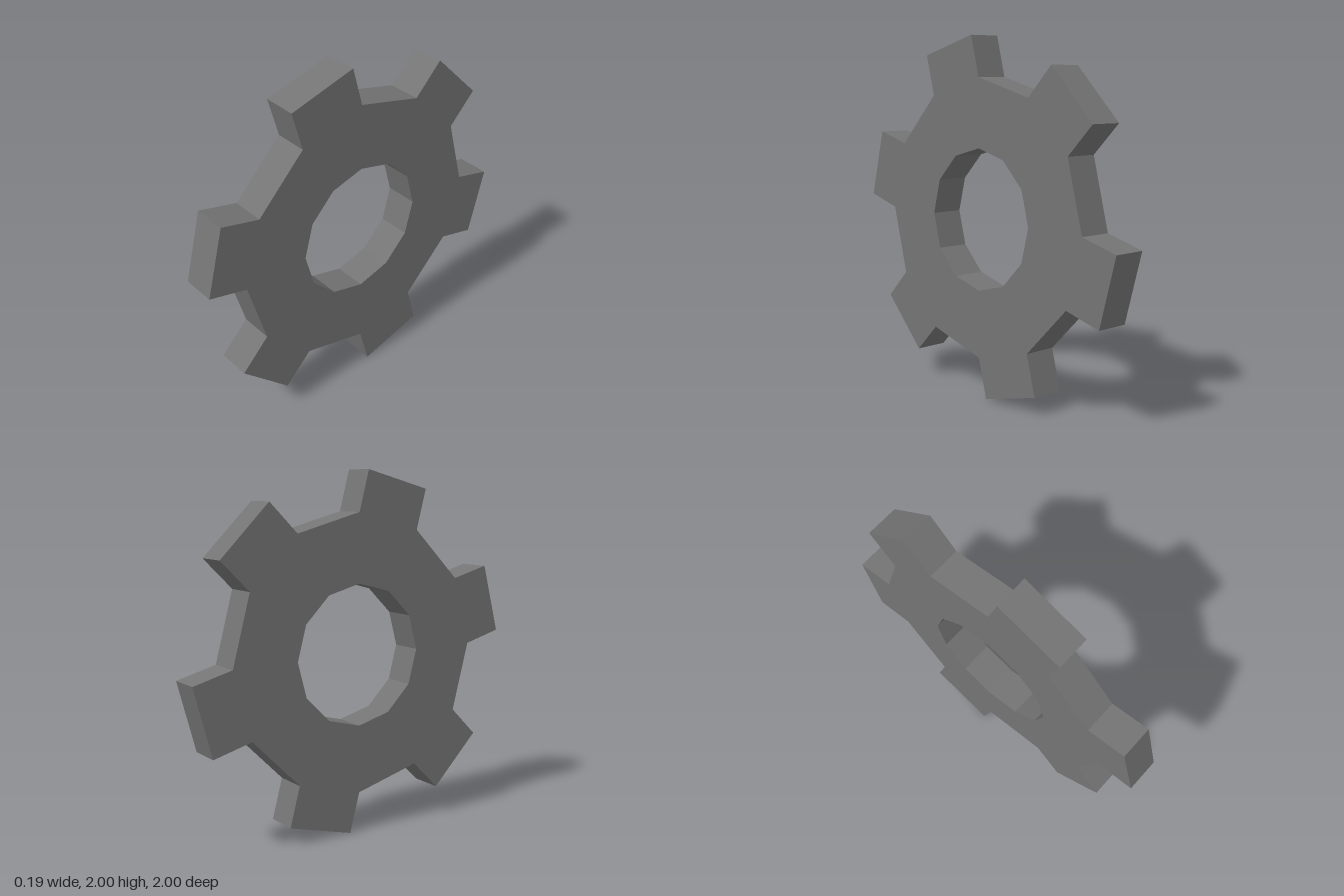
import * as THREE from 'three';

const RIM = 0.775, HOLE = 0.393, TOOTH = 0.233, THICK = 0.188;

export function createModel() {
  const group = new THREE.Group();
  group.name = 'gear';

  // Angles run from +z towards +y; the shape's x axis becomes -z
  const polar = (r, deg) => {
    const a = THREE.MathUtils.degToRad(deg);
    return new THREE.Vector2(-r * Math.cos(a), r * Math.sin(a));
  };

  // Twelve-sided rim with a square tooth on every other side
  const outline = [];
  for (let deg = 0; deg < 360; deg += 60) {
    const start = polar(RIM, deg), end = polar(RIM, deg + 30);
    const out = polar(TOOTH, deg + 15);
    outline.push(start, start.clone().add(out), end.clone().add(out), end);
  }
  // Reversed to run counterclockwise
  const shape = new THREE.Shape(outline.reverse());

  // Twelve-sided bore, wound against the outline so its wall faces inward
  const bore = [];
  for (let deg = 0; deg < 360; deg += 30) bore.push(polar(HOLE, deg));
  shape.holes.push(new THREE.Path(bore));

  const geometry = new THREE.ExtrudeGeometry(shape, { depth: THICK, bevelEnabled: false });
  geometry.translate(0, 0, -THICK / 2);
  geometry.rotateY(Math.PI / 2);
  geometry.translate(0, 1, 0);

  const material = new THREE.MeshStandardMaterial({ color: 0x747474, flatShading: true });
  const wheel = new THREE.Mesh(geometry, material);
  wheel.name = 'toothedWheel';
  group.add(wheel);
  return group;
}
